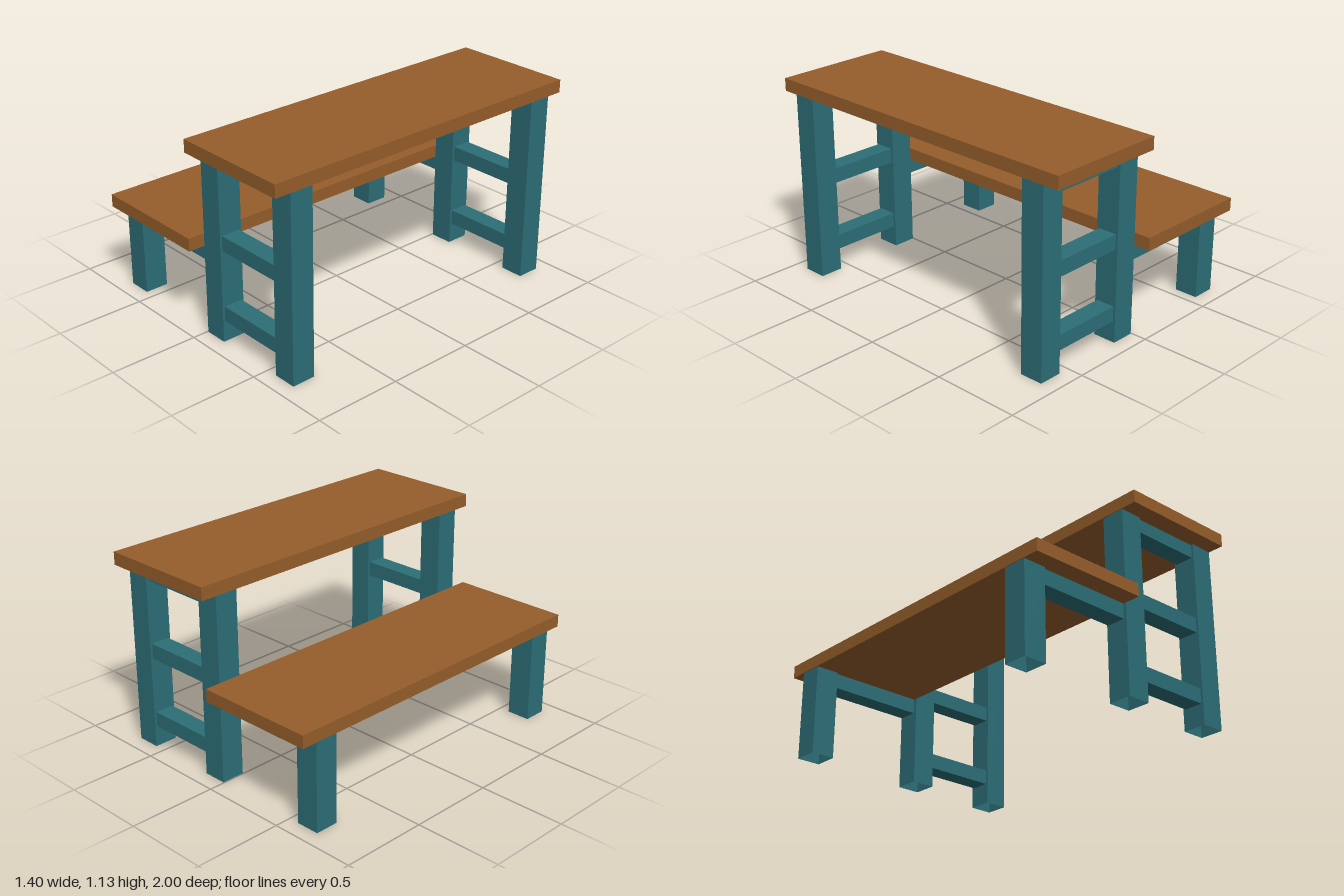
import * as THREE from 'three';

const wood = new THREE.MeshStandardMaterial({ color: 0x965e2b });
wood.name = 'brown wood';
const paint = new THREE.MeshStandardMaterial({ color: 0x2c6e77, side: THREE.DoubleSide });
paint.name = 'teal paint';

export function createModel() {
  const group = new THREE.Group();

  // Box given by its limits on each axis
  function box(name, material, [x0, x1], [y0, y1], [z0, z1]) {
    const geometry = new THREE.BoxGeometry(x1 - x0, y1 - y0, z1 - z0);
    const mesh = new THREE.Mesh(geometry, material);
    mesh.name = name;
    mesh.position.set((x0 + x1) / 2, (y0 + y1) / 2, (z0 + z1) / 2);
    group.add(mesh);
    return mesh;
  }

  // Hollow square leg: the bottom face (box side 3) is left open
  function leg(name, x, top, z) {
    const w = 0.0675;
    const mesh = box(name, paint, [x - w, x + w], [0, top], [z - w, z + w]);
    const index = Array.from(mesh.geometry.index.array);
    index.splice(18, 6);
    mesh.geometry.setIndex(index);
    mesh.geometry.clearGroups();
  }

  // Table top and lower bench seat
  box('tableTop', wood, [0, 0.7], [1.057, 1.13], [-1, 1]);
  box('benchSeat', wood, [-0.7, 0], [0.508, 0.58], [-1, 1]);

  // Matching frames at the front and back ends
  for (const [end, z] of [['front', 0.84], ['back', -0.84]]) {
    const depth = [z - 0.054, z + 0.054];
    leg(end + 'TableInnerLeg', 0.072, 1.057, z);
    leg(end + 'TableOuterLeg', 0.631, 1.057, z);
    leg(end + 'BenchLeg', -0.628, 0.508, z);
    for (const [name, y0, y1] of [
      ['LowerRung', 0.12, 0.206],
      ['MiddleRung', 0.528, 0.614],
      ['TopRail', 0.978, 1.057],
    ]) box(end + name, paint, [0.139, 0.564], [y0, y1], depth);
    box(end + 'BenchRail', paint, [-0.561, -0.002], [0.422, 0.508], depth);
  }
  return group;
}
